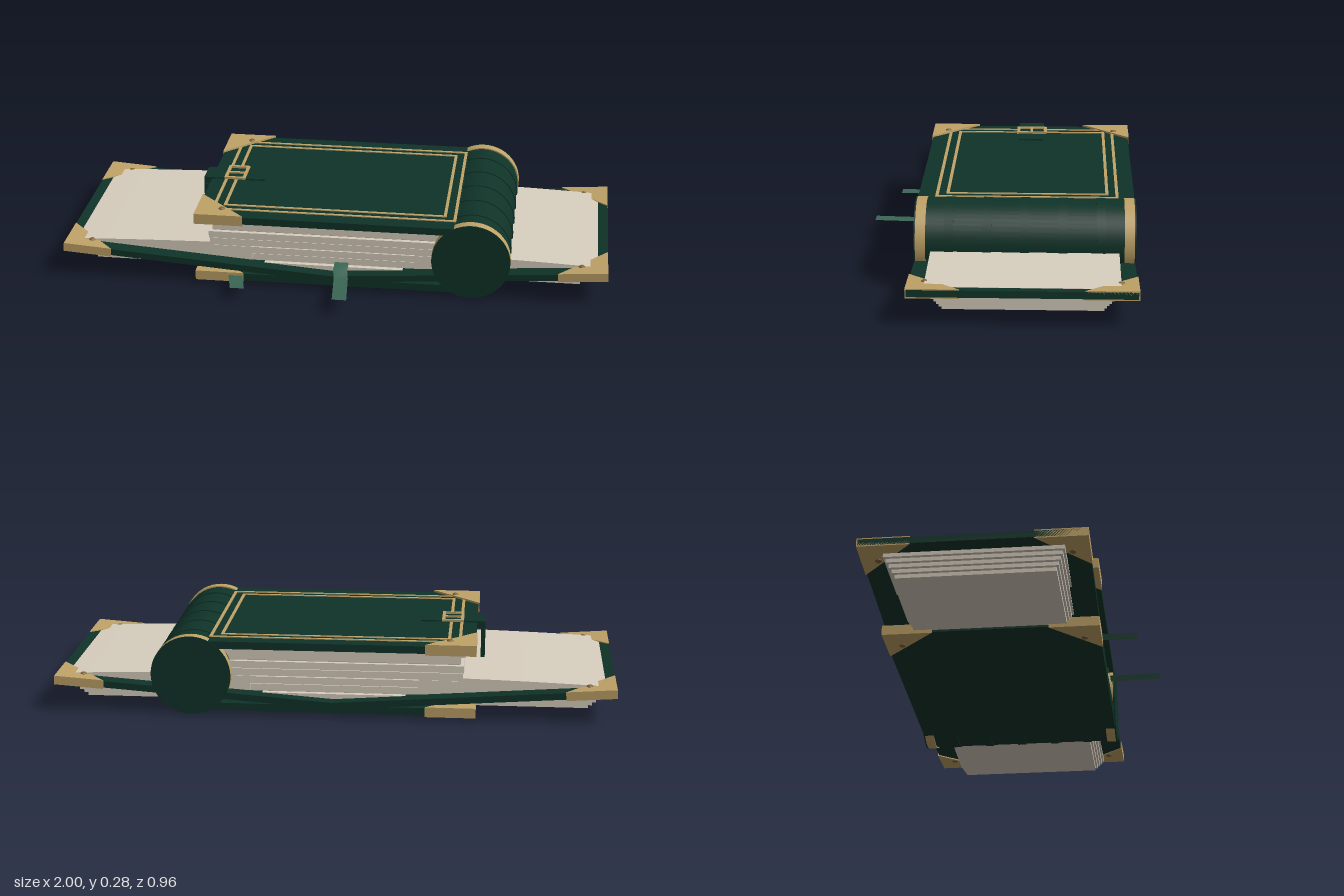
import * as THREE from 'three';

const mat = (name, color, side = THREE.FrontSide) => {
  const m = new THREE.MeshStandardMaterial({ color, side });
  m.name = name;
  return m;
};

export function createModel() {
  const green = mat('dark green leather', 0x0f3328);
  const cream = mat('cream paper', 0xd8cfbf);
  const paperEdge = mat('shaded paper', 0xb5ab9b);
  const gold = mat('old gold', 0xbfa267);
  const rivetMat = mat('dark brass', 0x7d6638);
  const silk = mat('ribbon green', 0x3a6655, THREE.DoubleSide);

  const root = new THREE.Group();
  root.name = 'books';
  const book = new THREE.Group();
  book.name = 'bookPair';
  book.position.z = -0.097; // the ribbons stick out at the front
  root.add(book);
  const HALF = 0.38;

  const add = (parent, name, geo, material, x = 0, y = 0, z = 0) => {
    const m = new THREE.Mesh(geo, material);
    m.name = name;
    m.position.set(x, y, z);
    parent.add(m);
    return m;
  };
  // box given by its limits in x, y and z
  const box = (parent, name, material, x0, x1, y0, y1, z0, z1) =>
    add(parent, name, new THREE.BoxGeometry(x1 - x0, y1 - y0, z1 - z0), material,
      (x0 + x1) / 2, (y0 + y1) / 2, (z0 + z1) / 2);

  // Triangular metal corner wrapping a board; the outer edge is at x, dir points inward
  const corner = (parent, x, dir, sz, y0, y1) => {
    const L = 0.175, e = 0.004;
    const g = new THREE.Group();
    g.name = 'metalCorner';
    const s = new THREE.Shape();
    const p = [[-e, -e], [L, -e], [-e, L]].map(([a, b]) => [x + dir * a, -sz * (HALF - b)]);
    s.moveTo(...p[0]);
    s.lineTo(...p[1]);
    s.lineTo(...p[2]);
    const plate = new THREE.ExtrudeGeometry(s, { depth: y1 - y0, bevelEnabled: false });
    plate.rotateX(-Math.PI / 2);
    add(g, 'cornerPlate', plate, gold, 0, y0);
    const rivet = new THREE.SphereGeometry(0.012, 12, 8);
    rivet.scale(1, 0.5, 1);
    for (const y of [y0, y1])
      add(g, 'rivet', rivet, rivetMat, x + dir * 0.09, y, sz * (HALF - 0.055));
    parent.add(g);
  };

  // Flat rectangular frame lying on a board
  const frame = (parent, name, x0, x1, z0, z1, w, y, h) => {
    const s = new THREE.Shape();
    s.moveTo(x0, -z1); s.lineTo(x1, -z1); s.lineTo(x1, -z0); s.lineTo(x0, -z0);
    const hole = new THREE.Path();
    hole.moveTo(x0 + w, -z1 + w); hole.lineTo(x0 + w, -z0 - w);
    hole.lineTo(x1 - w, -z0 - w); hole.lineTo(x1 - w, -z1 + w);
    s.holes.push(hole);
    const geo = new THREE.ExtrudeGeometry(s, { depth: h, bevelEnabled: false });
    geo.rotateX(-Math.PI / 2);
    add(parent, name, geo, gold, 0, y);
  };

  // Closed book: boards with corners
  const closed = new THREE.Group();
  closed.name = 'closedBook';
  book.add(closed);
  box(closed, 'topBoard', green, -0.5, 0.5, 0.243, 0.27, -HALF, HALF);
  box(closed, 'bottomBoard', green, -0.5, 0.5, 0.017, 0.044, -HALF, HALF);
  for (const sz of [-1, 1]) {
    corner(closed, -0.5, 1, sz, 0.238, 0.277);
    corner(closed, -0.5, 1, sz, 0.012, 0.048);
  }
  frame(closed, 'outerBorder', -0.45, 0.445, -0.325, 0.32, 0.011, 0.268, 0.005);
  frame(closed, 'innerBorder', -0.412, 0.408, -0.29, 0.283, 0.011, 0.268, 0.005);

  // Closed book: gathered pages with thin shaded gaps
  const n = 7, y0 = 0.044, h = (0.243 - y0) / n;
  for (let i = 0; i < n; i++) {
    const inset = 0.008 * (i % 2) + 0.004 * (i % 3);
    box(closed, 'pageGathering', cream, -0.465 + inset, 0.46,
      y0 + i * h + 0.003, y0 + (i + 1) * h, -0.335 + inset, 0.335 - inset);
  }
  box(closed, 'pageCore', paperEdge, -0.445, 0.46, y0, 0.243, -0.315, 0.315);

  // Closed book: round spine with raised bands and metal end rings
  const spine = new THREE.Group();
  spine.name = 'spine';
  spine.position.set(0.505, 0.143, 0);
  closed.add(spine);
  const barrel = (name, r, len, material, z) => {
    const geo = new THREE.CylinderGeometry(r, r, len, 48);
    geo.rotateX(Math.PI / 2);
    add(spine, name, geo, material, 0, 0, z);
  };
  barrel('spineBarrel', 0.138, 2 * HALF, green, 0);
  for (let i = -2; i <= 2; i++) barrel('raisedBand', 0.1415, 0.031, green, i * 0.131);
  for (const s of [-1, 1]) {
    barrel('endRing', 0.1425, 0.035, gold, s * 0.36);
    barrel('endCap', 0.1425, 0.005, green, s * 0.38);
  }

  // Strap and buckle
  const clasp = new THREE.Group();
  clasp.name = 'clasp';
  closed.add(clasp);
  box(clasp, 'strapDrop', green, -0.53, -0.515, 0.14, 0.25, -0.055, 0.05);
  box(clasp, 'strapTop', green, -0.53, -0.295, 0.25, 0.275, -0.05, 0.045);
  frame(clasp, 'buckleFrame', -0.452, -0.372, -0.063, 0.053, 0.011, 0.274, 0.008);
  box(clasp, 'bucklePin', gold, -0.452, -0.372, 0.274, 0.281, -0.009, 0.001);

  // Open book: two sloping boards, each with a stepped page stack
  const open = new THREE.Group();
  open.name = 'openBook';
  book.add(open);
  const slope = Math.atan2(0.072, 1);
  for (const s of [-1, 1]) {
    const side = new THREE.Group();
    side.name = s > 0 ? 'leftBoard' : 'rightBoard';
    side.position.y = 0.041;
    side.rotation.z = s * slope;
    open.add(side);
    box(side, 'board', green, s > 0 ? 0 : -1, s > 0 ? 1 : 0, -0.011, 0.013, -HALF, HALF);
    for (const sz of [-1, 1]) corner(side, s * 0.996, -s, sz, -0.015, 0.017);

    // upper pages thin out towards the fore edge
    const top = new THREE.Shape();
    top.moveTo(0.3, 0.065); top.lineTo(0.96, 0.1); top.lineTo(0.96, 0.124);
    top.quadraticCurveTo(0.75, 0.134, 0.46, 0.14); top.lineTo(0.3, 0.14);
    if (s < 0) {
      const pts = top.getPoints(8).map((p) => new THREE.Vector2(-p.x, p.y));
      top.curves.length = 0;
      top.setFromPoints(pts);
    }
    const pages = new THREE.ExtrudeGeometry(top, { depth: 0.65, bevelEnabled: false });
    add(open, 'upperPages', pages, cream, 0, 0, -0.325);

    // lower pages step inward as they go down
    for (let i = 0; i < 5; i++) {
      const x = 0.953 - i * 0.013, z = 0.302 - i * 0.008, y = 0.092 - i * 0.0135;
      box(open, 'lowerPages', cream, s > 0 ? 0.3 : -x, s > 0 ? x : -0.3, y - 0.0135, y, -z, z);
    }
  }

  // Ribbon bookmarks: a flat strip along a few points, w wide
  const ribbon = (w, path) => {
    const pos = [], idx = [];
    path.forEach(([x, y, z], i) => {
      pos.push(x - w / 2, y, z, x + w / 2, y, z);
      if (i) {
        const a = 2 * i - 2;
        idx.push(a, a + 2, a + 1, a + 1, a + 2, a + 3);
      }
    });
    const geo = new THREE.BufferGeometry();
    geo.setAttribute('position', new THREE.Float32BufferAttribute(pos, 3));
    geo.setIndex(idx);
    geo.computeVertexNormals();
    add(book, 'ribbonBookmark', geo, silk);
  };
  ribbon(0.052, [[-0.37, 0.048, 0.3], [-0.355, 0.037, 0.385], [-0.328, 0.048, 0.505]]);
  ribbon(0.052, [[0.03, 0.085, 0.3], [0.032, 0.083, 0.383], [0.035, 0.05, 0.388], [0.052, 0.06, 0.572]]);

  return root;
}
